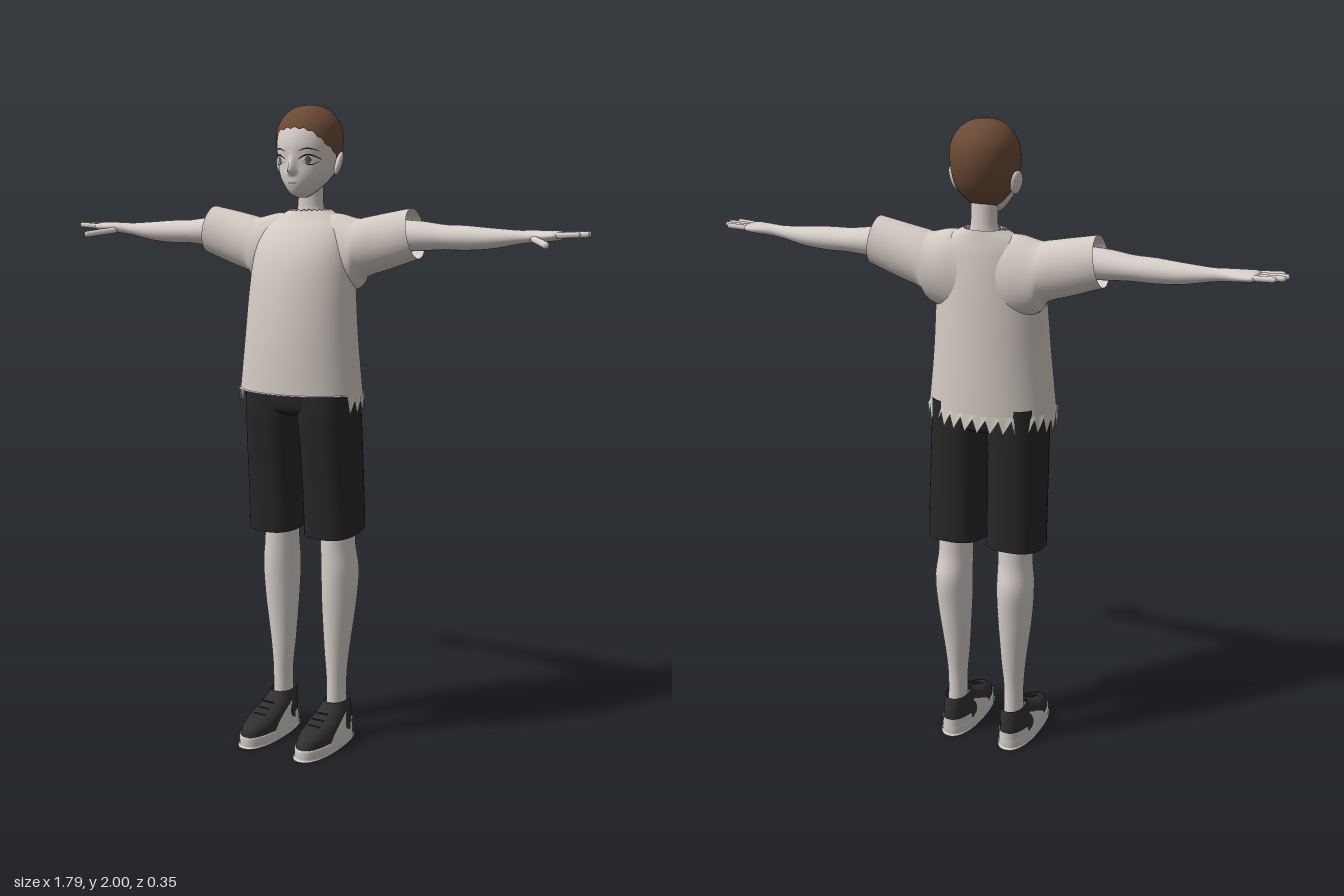
import * as THREE from 'three';

const mat = (name, color, side = THREE.FrontSide) =>
  Object.assign(new THREE.MeshStandardMaterial({ color, side }), { name });

// Catmull-Rom interpolation of cross-section rows [h, a, ra, b, rb] at t in 0..1
function section(st, t) {
  const f = t * (st.length - 1), i = Math.min(Math.floor(f), st.length - 2), k = f - i;
  const row = n => st[Math.max(0, Math.min(st.length - 1, n))];
  return st[0].map((_, c) => {
    const [p, q, r, s] = [row(i - 1)[c], row(i)[c], row(i + 1)[c], row(i + 2)[c]];
    return q + 0.5 * k * (r - p + k * (2 * p - 5 * q + 4 * r - s + k * (3 * (q - r) + s - p)));
  });
}
// Point of a lofted body: rows run up y, or out along x when alongX
function point(st, ang, t, off = 0, e = 2, alongX = false) {
  const [h, a, ra, b, rb] = section(st, t);
  const sp = v => Math.sign(v) * Math.abs(v) ** (2 / e);
  const A = a + (Math.max(ra, 0) + off) * sp(Math.cos(ang)), B = b + (Math.max(rb, 0) + off) * sp(Math.sin(ang));
  return alongX ? [h, B, A] : [A, h, B];
}
function tAt(st, h) {
  let lo = 0, hi = 1;
  for (let i = 0; i < 30; i++) {
    const m = (lo + hi) / 2;
    if (section(st, m)[0] < h) lo = m; else hi = m;
  }
  return lo;
}
// Grid surface; fn(i, j) gives a point, i goes around and j along
function grid(nu, nv, closed, fn) {
  const pos = [], idx = [], w = closed ? nu : nu + 1;
  for (let j = 0; j <= nv; j++) for (let i = 0; i < w; i++) pos.push(...fn(i, j));
  for (let j = 0; j < nv; j++) for (let i = 0; i < nu; i++) {
    const a = j * w + i, b = j * w + (i + 1) % w;
    idx.push(a, a + w, b, b, a + w, b + w);
  }
  const g = new THREE.BufferGeometry();
  g.setAttribute('position', new THREE.Float32BufferAttribute(pos, 3));
  g.setIndex(idx);
  g.computeVertexNormals();
  return g;
}
function loft(st, { nu = 32, nv = 32, e = 2, alongX = false, rule = p => p } = {}) {
  return grid(nu, nv, true, (i, j) => rule(point(st, i / nu * Math.PI * 2, j / nv, 0, e, alongX), i, j));
}
// Thin patch lying on a loft between two heights that depend on the angle
function patch(st, a0, a1, lo, hi, off, e = 2, nu = 32, nv = 6) {
  return grid(nu, nv, false, (i, j) => {
    const a = a0 + (a1 - a0) * i / nu, t0 = tAt(st, lo(a)), t1 = tAt(st, hi(a));
    return point(st, a, t0 + (t1 - t0) * j / nv, off, e);
  });
}
// Piecewise linear curve through [x, y] pairs with rising x
function curve(pts, x) {
  for (let i = 1; i < pts.length; i++) if (x <= pts[i][0]) {
    const [x0, y0] = pts[i - 1], [x1, y1] = pts[i];
    return y0 + (y1 - y0) * Math.max(0, (x - x0) / (x1 - x0));
  }
  return pts[pts.length - 1][1];
}

const HEAD = [
  [1.724, 0, 0.012, -0.015, 0.018], [1.735, 0, 0.032, -0.012, 0.04], [1.76, 0, 0.056, -0.026, 0.068],
  [1.79, 0, 0.078, -0.04, 0.086], [1.83, 0, 0.09, -0.052, 0.097], [1.88, 0, 0.096, -0.056, 0.105],
  [1.93, 0, 0.092, -0.06, 0.096], [1.965, 0, 0.072, -0.06, 0.073], [1.985, 0, 0.048, -0.06, 0.048],
  [1.994, 0, 0.024, -0.06, 0.024], [1.997, 0, 0, -0.06, 0]];
const NECK = [[1.62, 0, 0.08, -0.065, 0.045], [1.66, 0, 0.058, -0.065, 0.042], [1.7, 0, 0.041, -0.066, 0.037],
  [1.78, 0, 0.04, -0.064, 0.036]];
const TORSO = [[1.14, 0, 0.203, -0.008, 0.143], [1.3, 0, 0.186, -0.009, 0.137], [1.45, 0, 0.175, -0.015, 0.125],
  [1.55, 0, 0.166, -0.025, 0.11], [1.62, 0, 0.15, -0.042, 0.087], [1.66, 0, 0.115, -0.058, 0.064],
  [1.69, 0, 0.064, -0.066, 0.05]];
const SLEEVE = [[0.02, -0.06, 0.06, 1.545, 0.12], [0.1, -0.058, 0.074, 1.555, 0.123], [0.17, -0.056, 0.076, 1.558, 0.106],
  [0.2, -0.057, 0.072, 1.578, 0.09], [0.27, -0.06, 0.065, 1.598, 0.083], [0.36, -0.06, 0.062, 1.622, 0.074]];
const ARM = [[0.2, -0.06, 0.05, 1.615, 0.05], [0.36, -0.06, 0.05, 1.615, 0.045], [0.45, -0.062, 0.046, 1.613, 0.037],
  [0.52, -0.063, 0.042, 1.612, 0.036], [0.6, -0.065, 0.036, 1.612, 0.03], [0.68, -0.065, 0.025, 1.617, 0.02],
  [0.72, -0.063, 0.026, 1.62, 0.018], [0.77, -0.06, 0.042, 1.622, 0.016], [0.805, -0.06, 0.043, 1.624, 0.013],
  [0.82, -0.06, 0, 1.624, 0]];
const LEG = [[0.08, 0.1, 0.031, -0.065, 0.039], [0.2, 0.1, 0.031, -0.063, 0.038], [0.3, 0.1, 0.04, -0.065, 0.045],
  [0.45, 0.105, 0.054, -0.068, 0.06], [0.56, 0.107, 0.058, -0.07, 0.069], [0.65, 0.103, 0.054, -0.063, 0.061],
  [0.78, 0.102, 0.055, -0.06, 0.06]];
const SHORT_LEG = [[0.695, 0.1, 0.087, -0.047, 0.097], [0.85, 0.099, 0.086, -0.038, 0.1], [1.0, 0.096, 0.086, -0.027, 0.105],
  [1.08, 0.092, 0.088, -0.022, 0.108], [1.16, 0.09, 0.088, -0.02, 0.105]];
const PELVIS = [[1.06, 0, 0.06, -0.02, 0.05], [1.085, 0, 0.15, -0.02, 0.1], [1.18, 0, 0.175, -0.02, 0.108]];
const SOLE = [[0, 0.102, 0, 0.02, 0], [0, 0.102, 0.054, 0.02, 0.147], [0.004, 0.102, 0.057, 0.02, 0.15],
  [0.03, 0.102, 0.057, 0.02, 0.15], [0.034, 0.102, 0.052, 0.02, 0.145]];
const UPPER = [[0.028, 0.102, 0.054, 0.019, 0.147], [0.055, 0.102, 0.053, 0.014, 0.142], [0.075, 0.102, 0.05, -0.005, 0.123],
  [0.095, 0.101, 0.045, -0.035, 0.091], [0.115, 0.1, 0.04, -0.057, 0.066], [0.132, 0.1, 0.036, -0.066, 0.054]];

export function createModel() {
  const M = {
    skin: mat('skin', 0xd6cec9), shirt: mat('shirt cloth', 0xd3cac2, THREE.DoubleSide),
    hair: mat('brown hair', 0x6b4a35, THREE.DoubleSide), black: mat('black shorts', 0x262626, THREE.DoubleSide),
    shoe: mat('black shoe', 0x303030, THREE.DoubleSide), sole: mat('light sole', 0xd0cbc6, THREE.DoubleSide),
    line: mat('dark lash', 0x2b2322), white: mat('eye white', 0xece8e4),
    iris: mat('iris', 0x52665f), lip: mat('lip line', 0x7d615a)
  };
  const root = new THREE.Group();
  root.name = 'standingFigure';
  const add = (parent, name, geo, material) => {
    const m = new THREE.Mesh(geo, material);
    m.name = name;
    parent.add(m);
    return m;
  };

  // Head with a small pointed nose
  const nose = y => curve([[1.788, 0], [1.803, 0.027], [1.85, 0.003], [1.87, 0]], y);
  add(root, 'head', loft(HEAD, { nu: 96, nv: 90, rule: ([x, y, z]) =>
    [x, y, z > 0 ? z + nose(y) * Math.exp(-((x / 0.011) ** 2)) : z] }), M.skin);
  add(root, 'neck', loft(NECK), M.skin);

  // Cropped hair cap, hairline lowering from forehead to nape
  const hairline = a => curve([[-0.6, 1.755], [-0.3, 1.785], [0, 1.838], [0.2, 1.858], [0.5, 1.88], [0.85, 1.918], [1, 1.926]],
    Math.sin(a)) + 0.003 * Math.sin(a * 22);
  add(root, 'hair', patch(HEAD, 0, Math.PI * 2, hairline, () => 1.9969, 0.005, 2, 96, 30).translate(0, 0.003, 0), M.hair);

  // Shirt body: straight front hem, torn back hem and ragged collar
  const NU = 96;
  add(root, 'shirtBody', loft(TORSO, { nu: NU, nv: 36, rule: ([x, y, z], i, j) =>
    j === 36 && z > -0.07 ? [x, y - (i % 4 < 2 ? 0.014 : 0), z + 0.004] : [x, y, z] }), M.shirt);
  add(root, 'tornHem', grid(NU, 1, true, (i, j) => {
    const [x, y, z] = point(TORSO, i / NU * Math.PI * 2, 0);
    const drop = z < 0.04 ? 0.012 + 0.021 * (i % 3) + (Math.abs(x) > 0.19 ? 0.008 : 0) : 0.003;
    return j ? [x, y, z] : [x * 1.03, y - drop, z * 1.03];
  }), M.shirt);

  // Face ribbon between two heights, following the front of the head
  const ribbon = (x0, x1, top, bot, off) => grid(12, 1, false, (i, j) => {
    const x = x0 + (x1 - x0) * i / 12, y = j ? bot(i / 12) : top(i / 12);
    const [, , rx, cz, rz] = section(HEAD, tAt(HEAD, y));
    return [x, y, cz + rz * Math.sqrt(Math.max(0, 1 - (x / rx) ** 2)) + off];
  });
  const arch = k => Math.sin(Math.PI * k);
  add(root, 'mouth', ribbon(-0.014, 0.014, () => 1.7695, () => 1.766, 0.003), M.lip);

  for (const s of [1, -1]) {
    const side = new THREE.Group();
    side.name = s > 0 ? 'leftHalf' : 'rightHalf';
    side.scale.x = s;
    root.add(side);

    // Eye, lashes and brow
    add(side, 'eyeWhite', ribbon(0.026, 0.074, k => 1.836 + 0.013 * arch(k), k => 1.834 - 0.012 * arch(k), 0.003), M.white);
    add(side, 'iris', ribbon(0.039, 0.058, k => 1.836 + 0.011 * arch(k), k => 1.836 - 0.012 * arch(k), 0.0045), M.iris);
    add(side, 'upperLash', ribbon(0.023, 0.078, k => 1.839 + 0.014 * arch(k), k => 1.836 + 0.012 * arch(k), 0.006), M.line);
    add(side, 'lowerLash', ribbon(0.034, 0.074, k => 1.833 - 0.01 * arch(k), k => 1.832 - 0.012 * arch(k), 0.006), M.line);
    add(side, 'brow', ribbon(0.022, 0.076, k => 1.861 + 0.01 * arch(k), k => 1.86 + 0.007 * arch(k), 0.004), M.line);

    // Ear
    const ear = add(side, 'ear', new THREE.SphereGeometry(1, 16, 12), M.skin);
    ear.scale.set(0.011, 0.036, 0.022);
    ear.position.set(0.099, 1.826, -0.062);
    ear.rotation.set(-0.15, 0.45, -0.2);

    // Sleeve with a slanted opening
    add(side, 'sleeve', loft(SLEEVE, { alongX: true, nu: 40, rule: ([x, y, z]) =>
      [x > 0.2 ? x - (y - 1.62) * (x - 0.2) * 1.1 : x, y, z] }), M.shirt);

    // Arm, palm and digits
    add(side, 'arm', loft(ARM, { alongX: true, nu: 28, nv: 54 }), M.skin);
    const digit = (name, from, to, r) => {
      const a = new THREE.Vector3(...from), d = new THREE.Vector3(...to).sub(a), len = d.length();
      const m = add(side, name, new THREE.CapsuleGeometry(r, len - r, 4, 10), M.skin);
      m.position.copy(a).addScaledVector(d, 0.5);
      m.quaternion.setFromUnitVectors(new THREE.Vector3(0, 1, 0), d.normalize());
    };
    [[0.864, -0.102], [0.885, -0.08], [0.889, -0.055], [0.872, -0.029]].forEach(([x, z], i) =>
      digit('finger', [0.785, 1.624, -0.09 + i * 0.02], [x, 1.629, z], 0.0085));
    digit('thumb', [0.735, 1.614, -0.04], [0.802, 1.6, 0.036], 0.0105);

    // Leg and shorts leg, hem lower at the front
    add(side, 'leg', loft(LEG, { nv: 48 }), M.skin);
    add(side, 'shortsLeg', loft(SHORT_LEG, { e: 2.6, nu: 40, rule: ([x, y, z]) =>
      [x, y - (z + 0.05) * 0.13 * (1.16 - y) / 0.465, z] }), M.black);

    // Shoe with pale sole, side flash and heel panel
    const shoe = new THREE.Group();
    shoe.name = 'shoe';
    side.add(shoe);
    add(shoe, 'sole', loft(SOLE, { nu: 48, nv: 24, e: 2.3 }), M.sole);
    add(shoe, 'upper', loft(UPPER, { nu: 48, e: 2.2 }), M.shoe);
    const flash = a => curve([[-0.5, 0.036], [-0.3, 0.05], [-0.05, 0.1], [0.05, 0.1], [0.32, 0.034], [1, 0.03]], Math.sin(a));
    add(shoe, 'outerFlash', patch(UPPER, -0.5, 0.35, () => 0.029, flash, 0.003, 2.2), M.sole);
    add(shoe, 'innerFlash', patch(UPPER, Math.PI - 0.35, Math.PI + 0.5, () => 0.029, flash, 0.003, 2.2), M.sole);
    add(shoe, 'heelPanel', patch(UPPER, Math.PI + 0.5, Math.PI * 2 - 0.5, () => 0.029, () => 0.058, 0.003, 2.2), M.sole);
    for (let i = 0; i < 3; i++) {
      const lace = add(shoe, 'lace', new THREE.CapsuleGeometry(0.003, 0.036, 3, 6), M.shoe);
      lace.rotation.z = Math.PI / 2;
      lace.position.set(0.101, 0.086 + i * 0.012, 0.084 - i * 0.026);
    }
  }
  add(root, 'shortsSeat', loft(PELVIS, { e: 2.6, nu: 40 }), M.black);
  return root;
}
